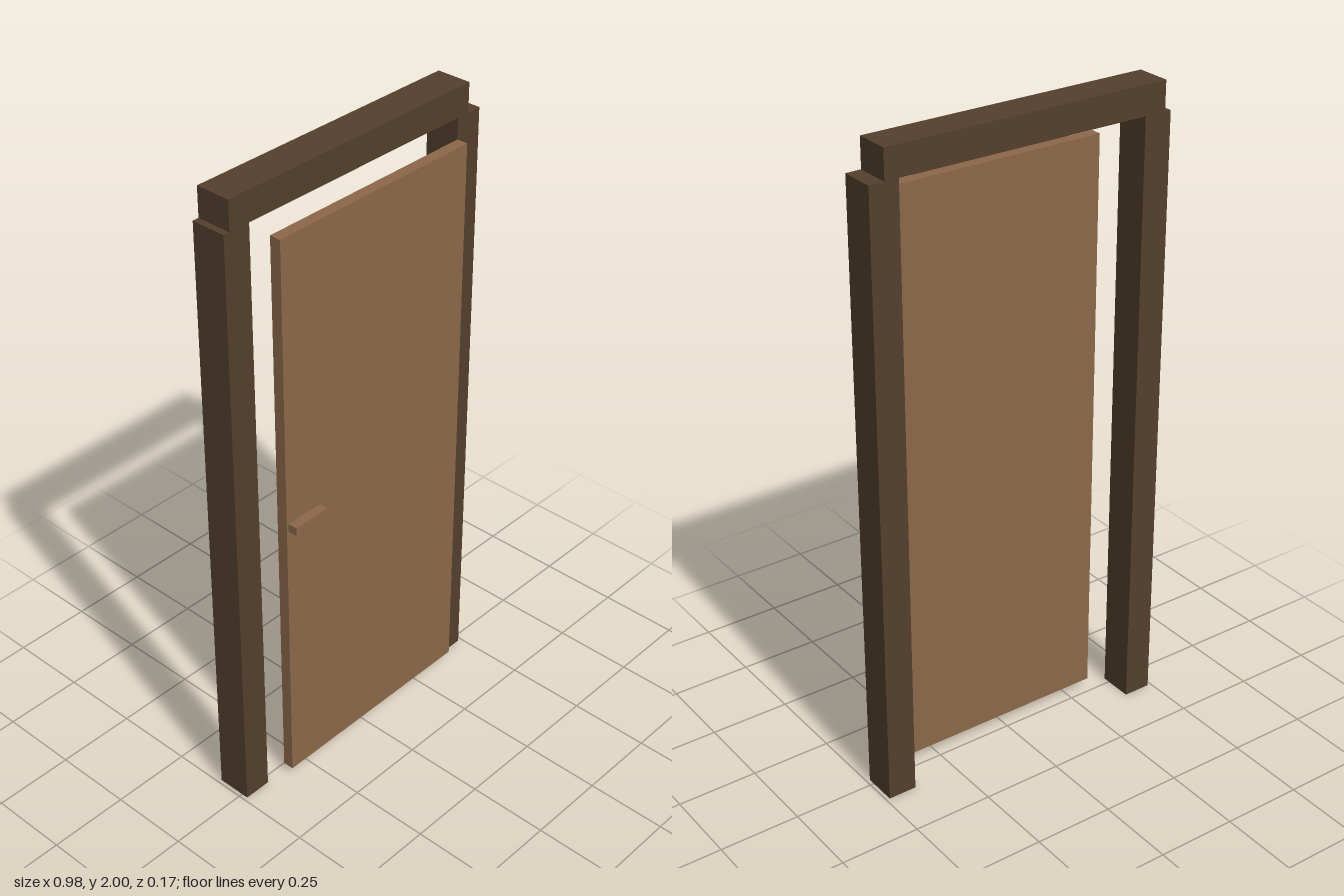
import * as THREE from 'three';

export function createModel() {
  const model = new THREE.Group();
  model.name = 'doorWithFrame';

  const frameWood = new THREE.MeshStandardMaterial({ color: 0x54402c });
  frameWood.name = 'dark frame wood';
  const doorWood = new THREE.MeshStandardMaterial({ color: 0x8b6849 });
  doorWood.name = 'light door wood';

  // Box given by its extents along each axis
  const addBox = (name, material, [x0, x1], [y0, y1], [z0, z1]) => {
    const mesh = new THREE.Mesh(new THREE.BoxGeometry(x1 - x0, y1 - y0, z1 - z0), material);
    mesh.position.set((x0 + x1) / 2, (y0 + y1) / 2, (z0 + z1) / 2);
    mesh.name = name;
    model.add(mesh);
  };

  const frameDepth = [-0.087, 0.022];

  // Frame: two posts and a lintel set slightly to the right
  addBox('leftPost', frameWood, [0.398, 0.488], [0, 1.91], frameDepth);
  addBox('rightPost', frameWood, [-0.488, -0.4], [0, 1.91], frameDepth);
  addBox('lintel', frameWood, [-0.468, 0.441], [1.91, 2], frameDepth);

  // Door leaf in front of the frame, with a lever handle
  addBox('doorLeaf', doorWood, [-0.329, 0.398], [0.03, 1.845], [0.022, 0.057]);
  addBox('handle', doorWood, [-0.322, -0.196], [0.924, 0.951], [0.057, 0.087]);

  return model;
}
